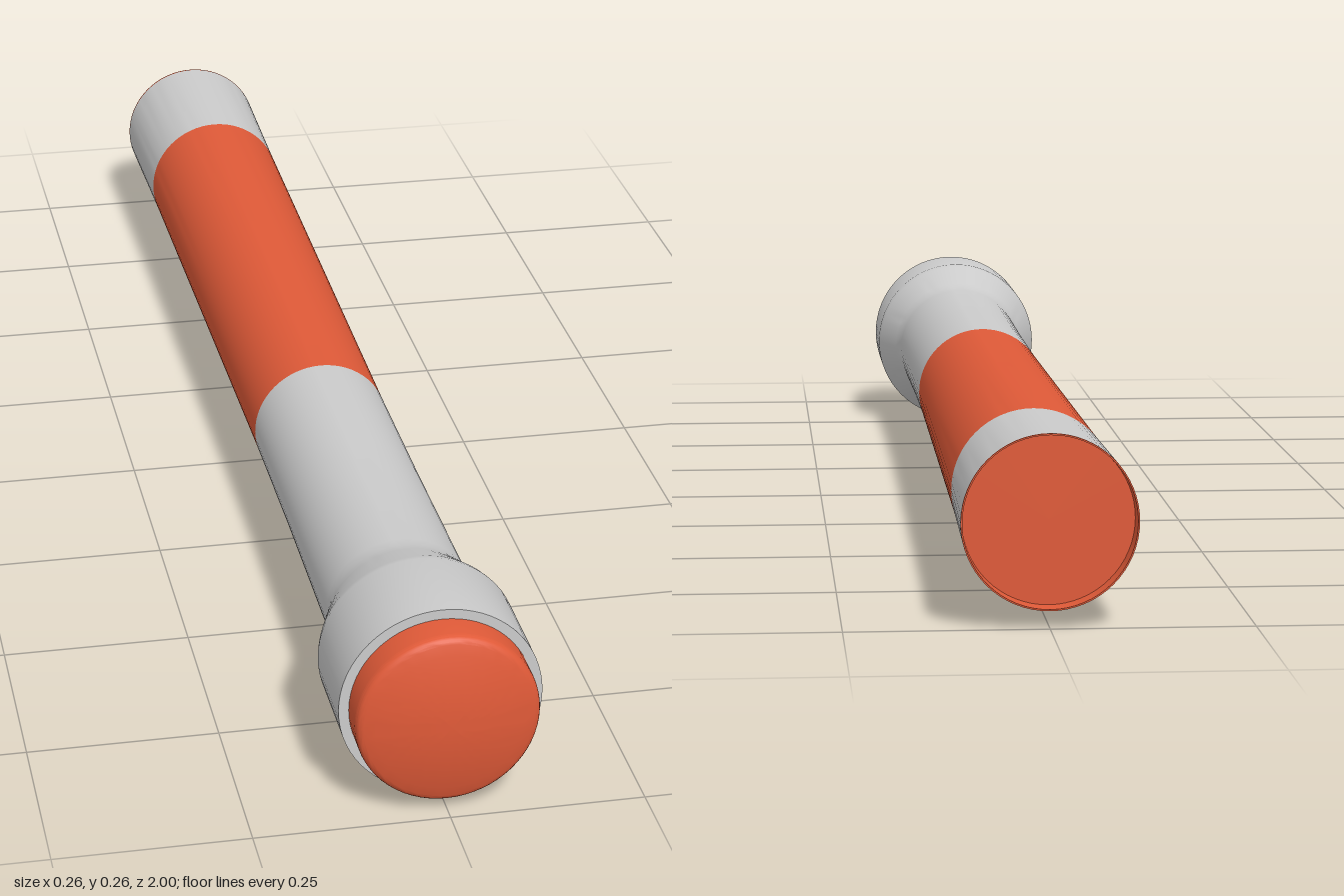
import * as THREE from 'three';
import { toCreasedNormals } from 'three/addons/utils/BufferGeometryUtils.js';

const AXIS_Y = 0.13;
const CREASE = 0.3;
const grey = new THREE.MeshStandardMaterial({ color: 0xcccccc });
const orange = new THREE.MeshStandardMaterial({ color: 0xe05a38 });

// Revolves [radius, z] pairs, listed from back to front, around the z axis
function turned(name, profile, material) {
  const points = profile.map(([r, z]) => new THREE.Vector2(r, z));
  const geometry = new THREE.LatheGeometry(points, 64).rotateX(Math.PI / 2);
  const mesh = new THREE.Mesh(toCreasedNormals(geometry, CREASE), material);
  mesh.name = name;
  mesh.position.y = AXIS_Y;
  return mesh;
}

// Front lens: short wall, rounded edge, shallow dome
function lensProfile() {
  const profile = [[0.117, 0.93], [0.117, 0.972]];
  const bevel = 0.012;
  for (let i = 1; i <= 5; i++) {
    const a = (i / 5) * THREE.MathUtils.degToRad(75);
    profile.push([0.105 + bevel * Math.cos(a), 0.972 + bevel * Math.sin(a)]);
  }
  const [edgeR, edgeZ] = profile[profile.length - 1];
  for (let i = 1; i <= 8; i++) {
    const r = edgeR * (1 - i / 8);
    profile.push([r, edgeZ + (1 - edgeZ) * (1 - (r / edgeR) ** 2)]);
  }
  return profile;
}

export function createModel() {
  const group = new THREE.Group();
  group.name = 'torch';

  // Recessed tail cap with a thin lip
  group.add(turned('tailCap', [
    [0, -0.975], [0.105, -0.975], [0.106, -1], [0.108, -1], [0.108, -0.997],
  ], orange));

  // Tapered body
  group.add(turned('tailSleeve', [[0.108, -0.997], [0.104, -0.755]], grey));
  group.add(turned('grip', [[0.104, -0.755], [0.1, -0.3], [0.096, 0.16]], orange));

  // Barrel flaring into the head, closed by a flat front rim
  group.add(turned('barrelAndHead', [
    [0.096, 0.16], [0.096, 0.4], [0.098, 0.69], [0.1, 0.71], [0.105, 0.73],
    [0.127, 0.79], [0.13, 0.802], [0.13, 0.935], [0.11, 0.935],
  ], grey));

  group.add(turned('lens', lensProfile(), orange));
  return group;
}
